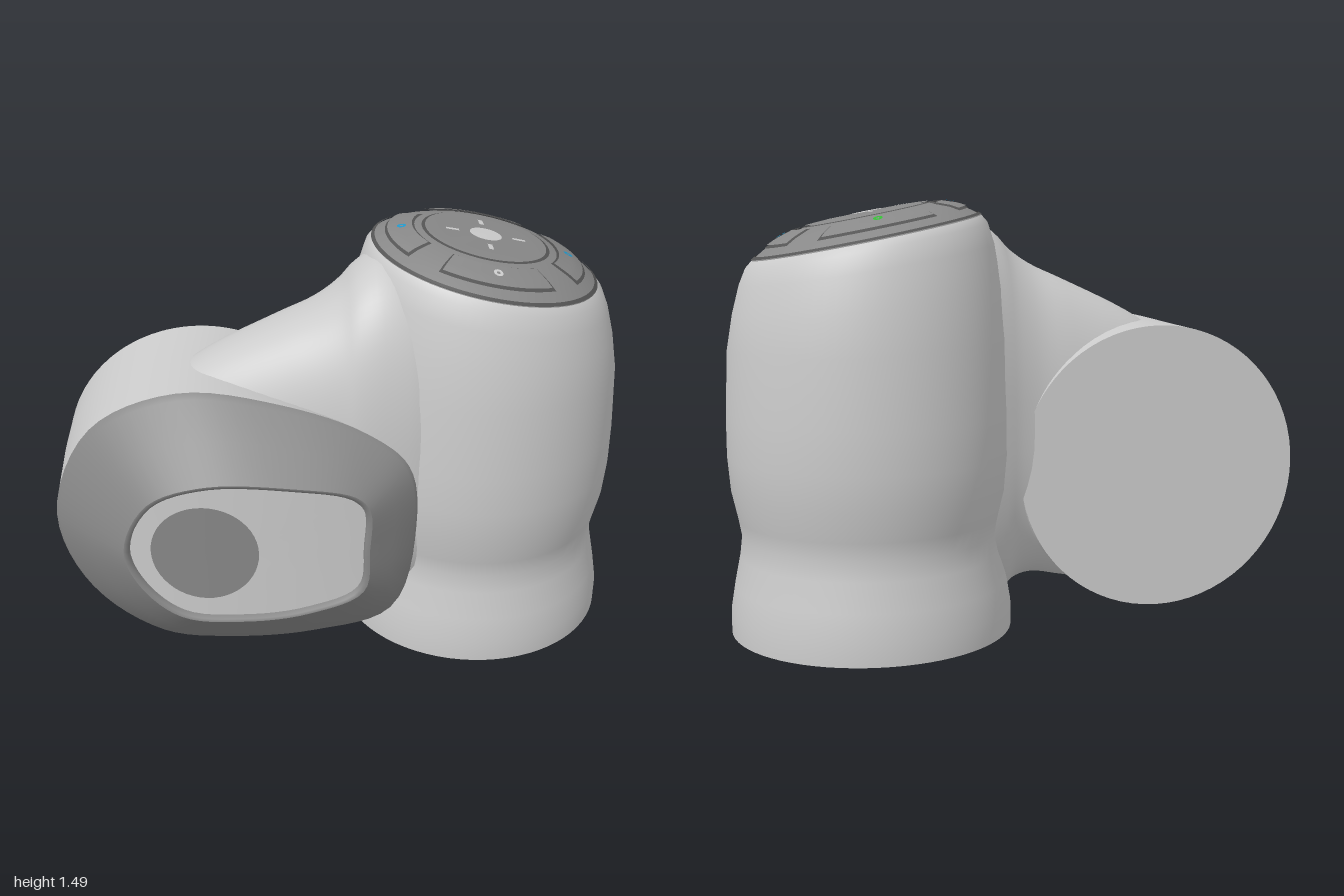
import * as THREE from 'three';

const V = (x, y, z) => new THREE.Vector3(x, y, z);
const CX = 0.51, CZ = -0.07; // axis of the upright body
const N = 72;

const light = new THREE.MeshStandardMaterial({ color: 0xcccccc, side: THREE.DoubleSide });
const tint = (color) => new THREE.MeshStandardMaterial({ color, side: THREE.DoubleSide });
const dark = tint(0x888888), groove = tint(0x555555);
const blue = tint(0x2299cc), green = tint(0x33bb33);

// Skin a list of closed rings that all have the same number of points
function loft(rings) {
  const n = rings[0].length, pos = [], idx = [];
  rings.forEach((r) => r.forEach((p) => pos.push(p.x, p.y, p.z)));
  for (let j = 0; j < rings.length - 1; j++) {
    for (let i = 0; i < n; i++) {
      const a = j * n + i, b = j * n + (i + 1) % n;
      idx.push(a, b, b + n, a, b + n, a + n);
    }
  }
  const g = new THREE.BufferGeometry();
  g.setAttribute('position', new THREE.Float32BufferAttribute(pos, 3));
  g.setIndex(idx);
  g.computeVertexNormals();
  return g;
}

const ring = (fn) => Array.from({ length: N }, (_, i) => fn(i / N * Math.PI * 2));

// Smooth closed outline in x, y with depth given by a rule
function outline(pts, depth) {
  const c = new THREE.CatmullRomCurve3(pts.map(([x, y]) => V(x, y, 0)), true, 'centripetal');
  return Array.from({ length: N }, (_, i) => {
    const p = c.getPoint(i / N);
    return V(p.x, p.y, depth(p.x));
  });
}

// Height of the domed control panel above its tilted rim plane
const DOME = [[0, 1.44], [0.2, 1.437], [0.25, 1.428], [0.31, 1.408], [0.36, 1.383], [0.39, 1.36]];
function domeY(r) {
  for (let i = 1; i < DOME.length; i++) {
    const [r0, y0] = DOME[i - 1], [r1, y1] = DOME[i];
    if (r <= r1) return y0 + (y1 - y0) * (r - r0) / (r1 - r0);
  }
  return 1.36;
}

// Lay a flat geometry (x, y) onto the dome
function onDome(g, lift) {
  const p = g.attributes.position;
  for (let i = 0; i < p.count; i++) {
    const x = p.getX(i), y = p.getY(i);
    p.setXYZ(i, CX + x, domeY(Math.hypot(x, y)) - 0.2 * x + lift, CZ - y);
  }
  g.computeVertexNormals();
  return g;
}

export function createModel() {
  const model = new THREE.Group();
  const add = (name, geo, mat = light, parent = model) => {
    const m = new THREE.Mesh(geo, mat);
    m.name = name;
    parent.add(m);
    return m;
  };

  // Upright body: waisted round column, tilting toward its top: radius, height, slope
  const profile = [[0.49, 0, 0], [0.49, 0.08, 0], [0.475, 0.17, 0], [0.455, 0.27, 0], [0.447, 0.34, 0],
    [0.458, 0.4, 0], [0.48, 0.5, 0], [0.49, 0.62, 0], [0.49, 0.76, 0], [0.48, 1, 0.03],
    [0.46, 1.15, 0.1], [0.435, 1.27, 0.16], [0.412, 1.335, 0.19], [0.39, 1.36, 0.2]];
  add('body', loft(profile.map(([r, y, k]) => ring((a) =>
    V(CX + r * Math.cos(a), y - k * r * Math.cos(a), CZ - r * Math.sin(a))))));
  const base = add('base', new THREE.CircleGeometry(0.49, N));
  base.rotation.x = Math.PI / 2;
  base.position.set(CX, 0, CZ);

  // Neck blending the body into the side lobe: x, bottom, top, back, front
  const sections = [[-0.62, 0.15, 0.98, -0.1, 0.24], [-0.45, 0.07, 1.09, -0.17, 0.29],
    [-0.2, 0.11, 1.21, -0.21, 0.325], [-0.08, 0.13, 1.265, -0.225, 0.34], [0, 0.11, 1.32, -0.25, 0.35],
    [0.06, 0.05, 1.38, -0.28, 0.36], [0.14, 0.05, 1.42, -0.32, 0.36], [0.25, 0.1, 1.4, -0.35, 0.35],
    [0.45, 0.2, 1.2, -0.3, 0.3]];
  const low = new THREE.CatmullRomCurve3(sections.map((s) => V(s[0], s[1], s[3])));
  const high = new THREE.CatmullRomCurve3(sections.map((s) => V(s[0], s[2], s[4])));
  const bend = (v) => Math.sign(v) * Math.abs(v) ** 0.8;
  add('neck', loft(Array.from({ length: 33 }, (_, j) => {
    const a = low.getPoint(j / 32), b = high.getPoint(j / 32);
    return ring((t) => V(a.x,
      (a.y + b.y) / 2 + (b.y - a.y) / 2 * bend(Math.cos(t)),
      (a.z + b.z) / 2 + (b.z - a.z) / 2 * bend(Math.sin(t))));
  })));

  // Side lobe: round at the back, flowing into the wider front outline
  const outer = outline([[0.25, 0.57], [0.22, 0.8], [0.08, 0.92], [-0.2, 1.02], [-0.55, 1.055], [-0.85, 0.91],
    [-0.99, 0.57], [-0.89, 0.27], [-0.65, 0.09], [-0.4, 0.07], [-0.1, 0.11], [0.17, 0.22]],
  (x) => 0.25 + 0.105 * (x + 1));
  const circle = (z) => outer.map((p) => {
    const a = Math.atan2(p.y - 0.55, p.x + 0.49);
    return V(-0.495 + 0.503 * Math.cos(a), 0.55 + 0.503 * Math.sin(a), z);
  });
  const back = circle(-0.235), mid = circle(0);
  add('lobe', loft([back, mid, mid.map((p, i) => p.clone().lerp(outer[i], 0.6)), outer]));
  const disc = add('lobeBack', new THREE.CircleGeometry(0.503, N));
  disc.rotation.y = Math.PI;
  disc.position.set(-0.495, 0.55, -0.235);

  // Front cover: sloping bezel with a recessed window
  const faceZ = (x) => 0.55 - 0.22 * (x + 0.25) ** 2;
  const rim = outline([[0.08, 0.57], [0.08, 0.72], [0.03, 0.78], [-0.15, 0.825], [-0.45, 0.84], [-0.65, 0.76],
    [-0.74, 0.57], [-0.69, 0.43], [-0.56, 0.32], [-0.35, 0.305], [-0.12, 0.33], [0.06, 0.4]], faceZ);
  const slope = (t, push) => outer.map((p, i) => {
    const q = p.clone().lerp(rim[i], t);
    q.z += push;
    return q;
  });
  add('frontBezel', loft([outer, slope(0.06, 0.012), slope(0.5, 0.01), rim]), dark);
  const inset = (s, drop) => rim.map((p) => {
    const x = -0.33 + (p.x + 0.33) * s;
    return V(x, 0.57 + (p.y - 0.57) * s, faceZ(x) - drop);
  });
  add('windowRim', loft([rim, inset(0.96, 0.002), inset(0.95, 0.03)]), dark);
  add('window', loft([0.955, 0.75, 0.5, 0.25, 0].map((s) => inset(s, 0.025))));
  const badge = new THREE.RingGeometry(0, 0.18, 48, 4).translate(-0.47, 0.57, 0);
  const bp = badge.attributes.position;
  for (let i = 0; i < bp.count; i++) bp.setZ(i, faceZ(bp.getX(i)) - 0.018);
  badge.computeVertexNormals();
  add('windowDisc', badge, dark);

  // Domed control panel on the top
  const panel = new THREE.Group();
  panel.name = 'controlPanel';
  model.add(panel);
  const arc = (name, r0, r1, lift, mat, a = 0, half = Math.PI) =>
    add(name, onDome(new THREE.RingGeometry(r0, r1, half > 3 ? N : 20, 8, a - half, half * 2), lift), mat, panel);
  arc('panelDome', 0, 0.39, 0, dark);
  arc('panelEdge', 0.38, 0.392, 0.004, groove);
  arc('centreGroove', 0.208, 0.22, 0.003, groove);
  arc('centreButton', 0, 0.208, 0.006, dark);
  arc('centreMark', 0, 0.055, 0.009, light);
  const iconColors = [blue, green, blue, light];
  for (let i = 0; i < 4; i++) {
    const a = i * Math.PI / 2;
    arc('buttonGroove', 0.245, 0.345, 0.003, groove, a, 0.6);
    arc('button', 0.253, 0.337, 0.008, dark, a, 0.57);
    const wide = new THREE.PlaneGeometry(0.045, 0.016).translate(0.115, 0, 0).rotateZ(a);
    add('pointer', onDome(wide, 0.009), light, panel);
    const icon = new THREE.RingGeometry(0.006, 0.016, 12).translate(0.29, 0, 0).rotateZ(a);
    add('buttonLight', onDome(icon, 0.012), iconColors[i], panel);
  }
  return model;
}
